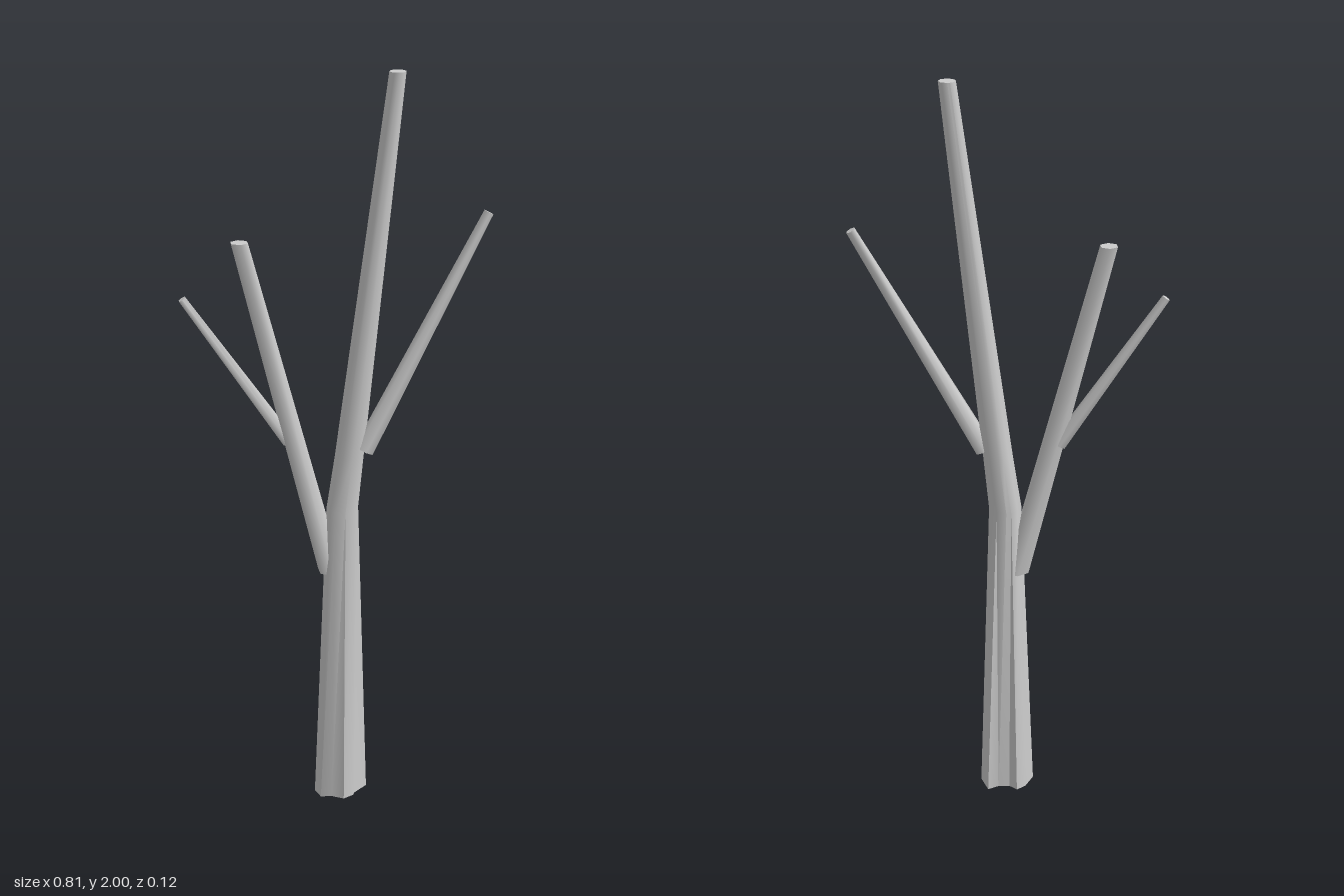
import * as THREE from 'three';
import { toCreasedNormals } from 'three/addons/utils/BufferGeometryUtils.js';

const bark = new THREE.MeshStandardMaterial({ color: 0xcccccc });

// Skin a list of rings (arrays of Vector3, anticlockwise from above), with optional end caps
function loft(name, rings, crease, capStart, capEnd) {
  const pos = [];
  const tri = (...pts) => pts.forEach(p => pos.push(p.x, p.y, p.z));
  const n = rings[0].length;
  for (let r = 0; r < rings.length - 1; r++) {
    for (let i = 0; i < n; i++) {
      const j = (i + 1) % n;
      const [lo, hi] = [rings[r], rings[r + 1]];
      tri(lo[i], lo[j], hi[j]);
      tri(lo[i], hi[j], hi[i]);
    }
  }
  const cap = (ring, up) => {
    const c = ring.reduce((s, p) => s.add(p), new THREE.Vector3()).divideScalar(n);
    for (let i = 0; i < n; i++) {
      const a = ring[i], b = ring[(i + 1) % n];
      up ? tri(c, a, b) : tri(c, b, a);
    }
  };
  if (capStart) cap(rings[0], false);
  if (capEnd) cap(rings[rings.length - 1], true);
  const geo = new THREE.BufferGeometry();
  geo.setAttribute('position', new THREE.Float32BufferAttribute(pos, 3));
  const mesh = new THREE.Mesh(toCreasedNormals(geo, crease), bark);
  mesh.name = name;
  return mesh;
}

// Round ring at the given angles, measured from +z towards +x
const ring = (c, radius, angles, tilt = new THREE.Quaternion()) => angles.map(a =>
  new THREE.Vector3(Math.sin(a) * radius, 0, Math.cos(a) * radius)
    .applyQuaternion(tilt).add(new THREE.Vector3(...c)));

// Tapered six-sided branch; its ends are level or square to its axis
function branch(name, from, to, r0, r1, square) {
  const dir = new THREE.Vector3(...to).sub(new THREE.Vector3(...from)).normalize();
  const tilt = new THREE.Quaternion();
  if (square) tilt.setFromUnitVectors(new THREE.Vector3(0, 1, 0), dir);
  const angles = Array.from({ length: 6 }, (_, i) => i * Math.PI / 3);
  return loft(name, [ring(from, r0, angles, tilt), ring(to, r1, angles, tilt)], 1.1, true, true);
}

export function createModel() {
  const tree = new THREE.Group();
  tree.name = 'bareTree';

  // Trunk: ridged open foot (x, z) blending into a rounder, bent stem
  const foot = [
    [0, 0.06], [0.03, 0.045], [0.035, 0.034], [0.076, 0], [0.06, -0.055], [0.03, -0.041],
    [0, -0.042], [-0.02, -0.062], [-0.045, -0.045], [-0.07, 0], [-0.06, 0.036], [-0.03, 0.04],
  ];
  const angles = foot.map(([x, z]) => Math.atan2(x, z));
  tree.add(loft('trunk', [
    foot.map(([x, z]) => new THREE.Vector3(x, 0, z)),
    ring([0.008, 0.85, -0.002], 0.043, angles),
    ring([0.027, 1.0, -0.002], 0.039, angles),
    ring([0.149, 2, -0.01], 0.022, angles),
  ], 0.75, false, true));

  // Branches
  tree.add(
    branch('rightBranch', [-0.022, 0.665, -0.012], [-0.251, 1.58, -0.032], 0.035, 0.024, false),
    branch('rightTwig', [-0.13, 1.04, -0.028], [-0.399, 1.44, -0.035], 0.02, 0.011, true),
    branch('leftBranch', [0.062, 1.015, 0.014], [0.393, 1.63, -0.016], 0.027, 0.013, true),
  );
  return tree;
}
